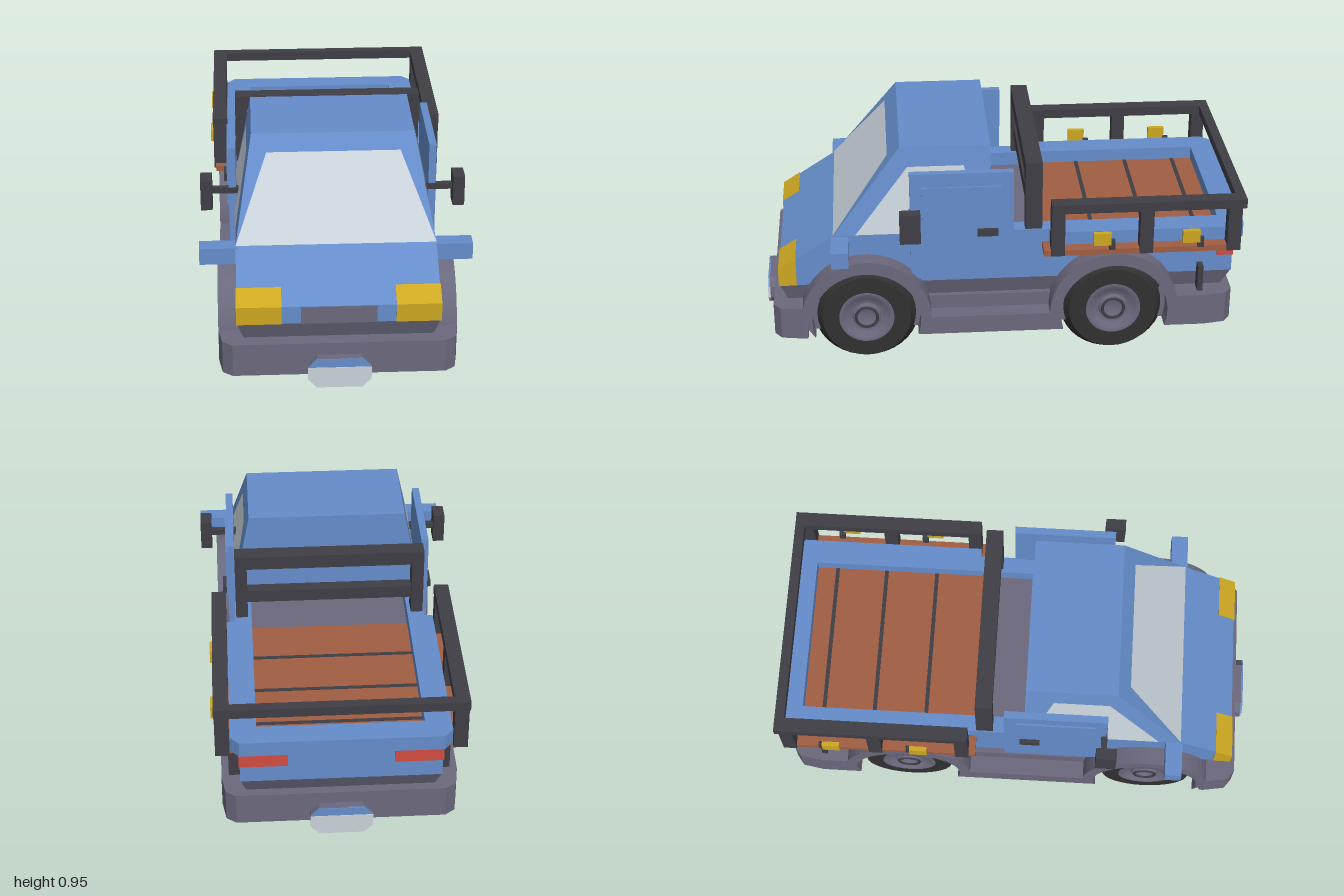
import * as THREE from 'three';

const mat = (name, color, side = THREE.FrontSide) => {
  const m = new THREE.MeshStandardMaterial({ color, side });
  m.name = name;
  return m;
};

export function createModel() {
  const truck = new THREE.Group();
  truck.name = 'pickupTruck';
  const blue = mat('bluePaint', 0x658dca);
  const grey = mat('greyTrim', 0x6a687c);
  const black = mat('blackMetal', 0x3f3e45);
  const rubber = mat('tyreRubber', 0x303031);
  const glass = mat('paleGlass', 0xc9d2da, THREE.DoubleSide);
  const wood = mat('brownWood', 0xa05d42);
  const amber = mat('amberLens', 0xcda821);
  const red = mat('redLens', 0xd24c40);

  const add = (name, geo, material) => {
    const m = new THREE.Mesh(geo, material);
    m.name = name;
    truck.add(m);
    return m;
  };
  // Box given by its min and max on each axis
  const box = (name, material, x0, x1, y0, y1, z0, z1) => {
    const g = new THREE.BoxGeometry(x1 - x0, y1 - y0, z1 - z0);
    g.translate((x0 + x1) / 2, (y0 + y1) / 2, (z0 + z1) / 2);
    return add(name, g, material);
  };
  // The same box on both sides
  const pair = (name, material, x0, x1, ...yz) => {
    box(name + 'Left', material, x0, x1, ...yz);
    box(name + 'Right', material, -x1, -x0, ...yz);
  };
  const poly = (pts) => new THREE.Shape(pts.map((p) => new THREE.Vector2(...p)));
  const extrude = (shape, depth) =>
    new THREE.ExtrudeGeometry(shape, { depth, bevelEnabled: false, curveSegments: 24 });
  // Side profile (z, y) extruded across x
  const sideways = (name, material, shape, x0, x1) =>
    add(name, extrude(shape, x1 - x0).rotateY(-Math.PI / 2).translate(x1, 0, 0), material);
  // Plan outline (x, z) extruded upwards
  const upright = (name, material, shape, y0, y1) =>
    add(name, extrude(shape, y1 - y0).rotateX(Math.PI / 2).translate(0, y1, 0), material);
  // Mirrors a half outline to the other side
  const mirrored = (half) => poly([...half, ...half.map(([x, z]) => [-x, z]).reverse()]);
  // Box whose lower and upper rectangles differ: [halfWidth, back, front]
  const taper = (name, material, y0, low, y1, high) => {
    const g = new THREE.BoxGeometry(2, 2, 2).toNonIndexed();
    const p = g.attributes.position;
    for (let i = 0; i < p.count; i++) {
      const [w, back, front] = p.getY(i) > 0 ? high : low;
      p.setXYZ(i, p.getX(i) * w, p.getY(i) > 0 ? y1 : y0, p.getZ(i) > 0 ? front : back);
    }
    g.computeVertexNormals();
    return add(name, g, material);
  };
  // Flat four-cornered pane
  const pane = (name, [a, b, c, d]) => {
    const g = new THREE.BufferGeometry();
    g.setAttribute('position', new THREE.Float32BufferAttribute([a, b, c, a, c, d].flat(), 3));
    g.computeVertexNormals();
    add(name, g, glass);
  };

  // Chassis with chamfered bumpers
  upright('chassisAndBumpers', grey, mirrored([
    [0.42, 0.96], [0.46, 0.93], [0.475, 0.84], [0.475, 0.82], [0.4, 0.82],
    [0.4, -0.71], [0.475, -0.71], [0.475, -0.84], [0.46, -0.93], [0.42, -0.96],
  ]), 0.15, 0.29);
  taper('lowerBody', grey, 0.22, [0.355, -0.89, 0.875], 0.37, [0.4, -0.96, 0.93]);

  // Side skirts with wheel arches
  const axles = [0.575, -0.46];
  const skirt = new THREE.Shape();
  skirt.moveTo(0.845, 0.15);
  for (const z of axles) skirt.absarc(z, 0.23, 0.27, 0, Math.PI, false);
  skirt.lineTo(-0.73, 0.15);
  for (const z of [...axles].reverse()) skirt.absarc(z, 0.22, 0.225, Math.PI + 0.316, -0.316, true);
  skirt.closePath();
  sideways('leftFenders', grey, skirt, 0.38, 0.475);
  sideways('rightFenders', grey, skirt, -0.475, -0.38);

  // Wheels: tyre, rim and hub turned around the axle
  const lathe = (pts) =>
    new THREE.LatheGeometry(pts.map((p) => new THREE.Vector2(...p)), 36).rotateZ(-Math.PI / 2);
  const tyre = lathe([[0, -0.107], [0.185, -0.107], [0.185, -0.107], [0.22, -0.05], [0.22, -0.05],
    [0.22, 0.05], [0.22, 0.05], [0.185, 0.107], [0.185, 0.107], [0.11, 0.107], [0.11, 0.107], [0.11, 0.08]]);
  const rim = lathe([[0.115, 0.095], [0.115, 0.112], [0.115, 0.112], [0.095, 0.112], [0.08, 0.095],
    [0.06, 0.095], [0.06, 0.095], [0.055, 0.108], [0.04, 0.108], [0.035, 0.095], [0, 0.095]].map(([r, h]) => [r, h]));
  const hubRing = new THREE.TorusGeometry(0.045, 0.006, 6, 28).rotateY(Math.PI / 2).translate(0.108, 0, 0);
  for (const z of axles) for (const s of [1, -1]) {
    const wheel = new THREE.Group();
    wheel.name = (z > 0 ? 'front' : 'rear') + (s > 0 ? 'LeftWheel' : 'RightWheel');
    for (const [n, g, m] of [['tyre', tyre, rubber], ['rim', rim, grey], ['hubRing', hubRing, black]]) {
      const part = new THREE.Mesh(g, m);
      part.name = n;
      wheel.add(part);
    }
    wheel.position.set(s * 0.328, 0.22, z);
    wheel.rotation.y = s > 0 ? 0 : Math.PI;
    truck.add(wheel);
  }

  // Nose, cab and glass
  sideways('nose', blue, poly([[0.93, 0.365], [0.93, 0.44], [0.7, 0.59], [0.05, 0.59], [0.05, 0.365]]), -0.4, 0.4);
  taper('cab', blue, 0.59, [0.4, 0.05, 0.7], 0.95, [0.33, 0.05, 0.42]);
  const rise = (y) => (y - 0.59) / 0.36;
  const front = (x, y) => [x, y, 0.704 - 0.28 * rise(y)];
  pane('windshield', [front(-0.4, 0.592), front(0.4, 0.592), front(0.27, 0.89), front(-0.27, 0.89)]);
  for (const s of [1, -1]) {
    const side = (z, y) => [s * (0.404 - 0.07 * rise(y)), y, z];
    const pts = [side(0.61, 0.592), side(0.07, 0.592), side(0.16, 0.87), side(0.39, 0.87)];
    pane(s > 0 ? 'leftWindow' : 'rightWindow', s > 0 ? pts : pts.reverse());
  }

  // Doors, handles, mirrors and side lamps
  pair('door', blue, 0.395, 0.425, 0.39, 0.87, -0.04, 0.385);
  pair('doorPanel', blue, 0.42, 0.432, 0.59, 0.81, 0.01, 0.335);
  pair('doorHandle', black, 0.425, 0.448, 0.59, 0.62, 0.025, 0.11);
  pair('mirrorArm', black, 0.385, 0.495, 0.67, 0.695, 0.365, 0.39);
  pair('mirror', black, 0.492, 0.54, 0.615, 0.745, 0.345, 0.43);
  pair('sideLamp', blue, 0.39, 0.545, 0.515, 0.585, 0.64, 0.71);

  // Headlights and grille
  const lamp = poly([[0.934, 0.365], [0.934, 0.442], [0.86, 0.49], [0.86, 0.365]]);
  sideways('leftHeadlight', amber, lamp, 0.225, 0.403);
  sideways('rightHeadlight', amber, lamp, -0.403, -0.225);
  box('grille', grey, -0.15, 0.15, 0.365, 0.438, 0.9, 0.934);

  // Cargo bed
  box('bedBody', blue, -0.4, 0.4, 0.365, 0.525, -0.96, 0.05);
  const rimShape = mirrored([[0.4, 0.05], [0.4, -0.19], [0.435, -0.19], [0.435, -0.96], [0.4, -1]]);
  rimShape.holes.push(new THREE.Path(
    [[-0.33, 0.04], [-0.33, -0.9], [0.33, -0.9], [0.33, 0.04]].map((p) => new THREE.Vector2(...p))));
  upright('bedRim', blue, rimShape, 0.525, 0.59);
  box('bedFrontFloor', grey, -0.33, 0.33, 0.515, 0.529, -0.17, 0.045);
  box('bedPlanks', wood, -0.33, 0.33, 0.52, 0.535, -0.9, -0.165);
  for (const z of [-0.38, -0.6, -0.815]) box('plankGap', black, -0.33, 0.33, 0.53, 0.538, z - 0.008, z + 0.008);
  pair('sideBoard', wood, 0.395, 0.485, 0.507, 0.532, -0.955, -0.16);
  pair('tailLight', red, 0.21, 0.404, 0.44, 0.505, -0.964, -0.895);
  pair('mudFlap', black, 0.395, 0.445, 0.295, 0.41, -0.835, -0.812);

  // Roll bar behind the cab
  pair('rollBarPost', black, 0.345, 0.395, 0.53, 0.89, -0.16, -0.09);
  box('rollBarTop', black, -0.395, 0.395, 0.83, 0.89, -0.16, -0.09);
  box('rollBarMiddle', black, -0.35, 0.35, 0.66, 0.715, -0.15, -0.1);

  // Bed railing with amber markers
  pair('sideRail', black, 0.435, 0.495, 0.705, 0.745, -0.99, -0.19);
  box('rearRail', black, -0.495, 0.495, 0.705, 0.745, -0.99, -0.95);
  for (const z of [-0.217, -0.582, -0.945]) pair('railPost', black, 0.437, 0.493, 0.51, 0.71, z - 0.028, z + 0.028);
  for (const z of [-0.398, -0.765]) {
    pair('marker', amber, 0.488, 0.508, 0.56, 0.615, z - 0.036, z + 0.036);
    pair('markerBracket', black, 0.475, 0.492, 0.53, 0.575, z - 0.055, z - 0.03);
  }

  // Eight-sided number plates, front and rear
  const plateShape = (x, y0, y1, c) => mirrored([
    [x - c, y0], [x, y0 + c], [x, y1 - c], [x - c, y1]]);
  for (const s of [1, -1]) {
    const plate = new THREE.Group();
    plate.name = s > 0 ? 'frontPlate' : 'rearPlate';
    const parts = [
      ['plateHolder', plateShape(0.125, 0.112, 0.238, 0.037), grey, 0.94, 0.994],
      ['plateFace', poly([[0.09, 0.112], [0.125, 0.149], [0.125, 0.202], [-0.125, 0.202], [-0.125, 0.149], [-0.09, 0.112]]), glass, 0.99, 1],
      ['plateBand', poly([[0.125, 0.202], [0.09, 0.238], [-0.09, 0.238], [-0.125, 0.202]]), blue, 0.99, 0.998],
    ];
    for (const [name, shape, m, z0, z1] of parts) {
      const part = new THREE.Mesh(extrude(shape, z1 - z0).translate(0, 0, z0), m);
      part.name = name;
      plate.add(part);
    }
    plate.rotation.y = s > 0 ? 0 : Math.PI;
    truck.add(plate);
  }
  return truck;
}
